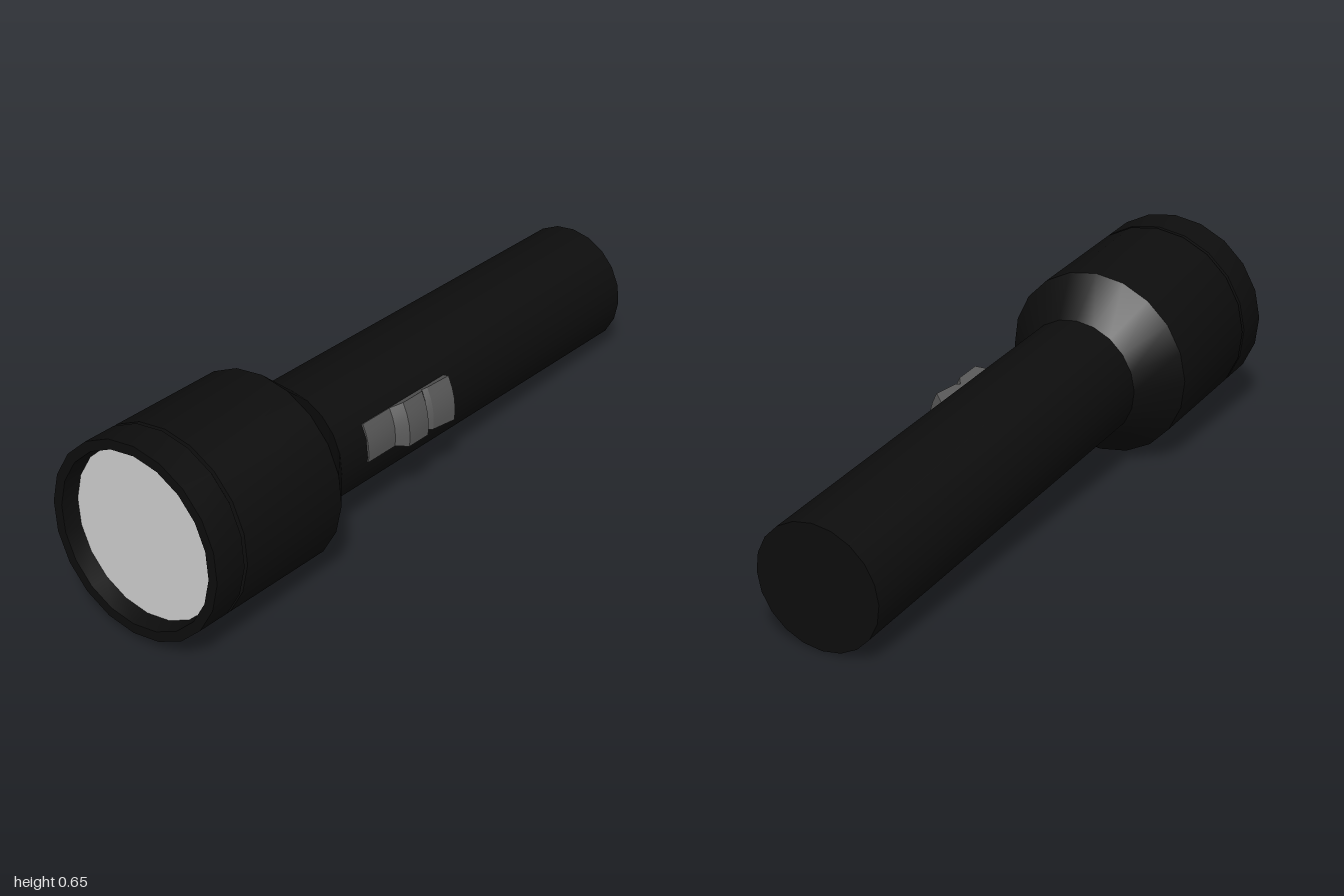
import * as THREE from 'three';
import { toCreasedNormals } from 'three/addons/utils/BufferGeometryUtils.js';

const SIDES = 20;
const black = new THREE.MeshStandardMaterial({ color: 0x0d0d0d });
const grey = new THREE.MeshStandardMaterial({ color: 0x585858, side: THREE.DoubleSide });
const glass = new THREE.MeshStandardMaterial({ color: 0xcccccc });

const vectors = (points) => points.map(([r, y]) => new THREE.Vector2(r, y));

function part(name, geometry, material) {
  const mesh = new THREE.Mesh(geometry, material);
  mesh.name = name;
  return mesh;
}

// Turned part; profile is [radius, y] from the tail towards the front
function turned(name, profile) {
  const geometry = new THREE.LatheGeometry(vectors(profile), SIDES);
  return part(name, toCreasedNormals(geometry, 0.5), black);
}

// Sliding switch: a stepped profile swept partly round the barrel, closed at both sides
function makeSwitch() {
  const group = new THREE.Group();
  group.name = 'switch';
  const start = THREE.MathUtils.degToRad(86);
  const sweep = THREE.MathUtils.degToRad(35);
  const pieces = {
    switchPlate: [[0.18, -0.905], [0.18, -0.78], [0.203, -0.78], [0.203, -0.905]],
    switchButton: [[0.18, -1.045], [0.18, -0.905], [0.203, -0.905], [0.234, -0.935],
      [0.234, -1.025], [0.216, -1.045]],
    switchRear: [[0.18, -1.172], [0.18, -1.045], [0.216, -1.045], [0.226, -1.06],
      [0.238, -1.15], [0.2, -1.172]],
  };
  for (const [name, profile] of Object.entries(pieces)) {
    const closed = vectors([...profile, profile[0]]).reverse();
    const shell = new THREE.LatheGeometry(closed, 4, start, sweep);
    group.add(part(name, toCreasedNormals(shell, 0.3), grey));
    for (const phi of [start, start + sweep]) {
      const side = new THREE.ShapeGeometry(new THREE.Shape(vectors(profile)));
      side.rotateY(phi - Math.PI / 2);
      group.add(part(name + 'Side', side, grey));
    }
  }
  return group;
}

export function createModel() {
  const model = new THREE.Group();
  model.name = 'flashlight';

  // Local frame: y runs along the axis, with the front rim at y = 0
  const torch = new THREE.Group();
  torch.name = 'flashlightBody';

  torch.add(turned('barrel', [[0, -2.088], [0.199, -2.088], [0.199, -0.64]]));
  torch.add(turned('head', [[0.199, -0.66], [0.306, -0.528], [0.306, -0.124],
    [0.294, -0.122], [0.294, -0.112]]));
  torch.add(turned('bezel', [[0.294, -0.114], [0.306, -0.112], [0.306, 0],
    [0.275, 0], [0.267, -0.056]]));

  // Recessed front lens
  const lens = part('lens', new THREE.CircleGeometry(0.268, SIDES).rotateX(-Math.PI / 2), glass);
  lens.position.y = -0.056;
  torch.add(lens, makeSwitch());

  // Lay the flashlight down, turned in plan and resting on the head and tail
  const forward = new THREE.Vector3(-0.5715, 0.067, 0.818).normalize();
  const side = new THREE.Vector3(forward.z, 0, -forward.x).normalize();
  const down = new THREE.Vector3().crossVectors(side, forward);
  torch.quaternion.setFromRotationMatrix(new THREE.Matrix4().makeBasis(side, forward, down));
  torch.position.set(-0.553, 0.342, 0.818);
  model.add(torch);
  return model;
}
